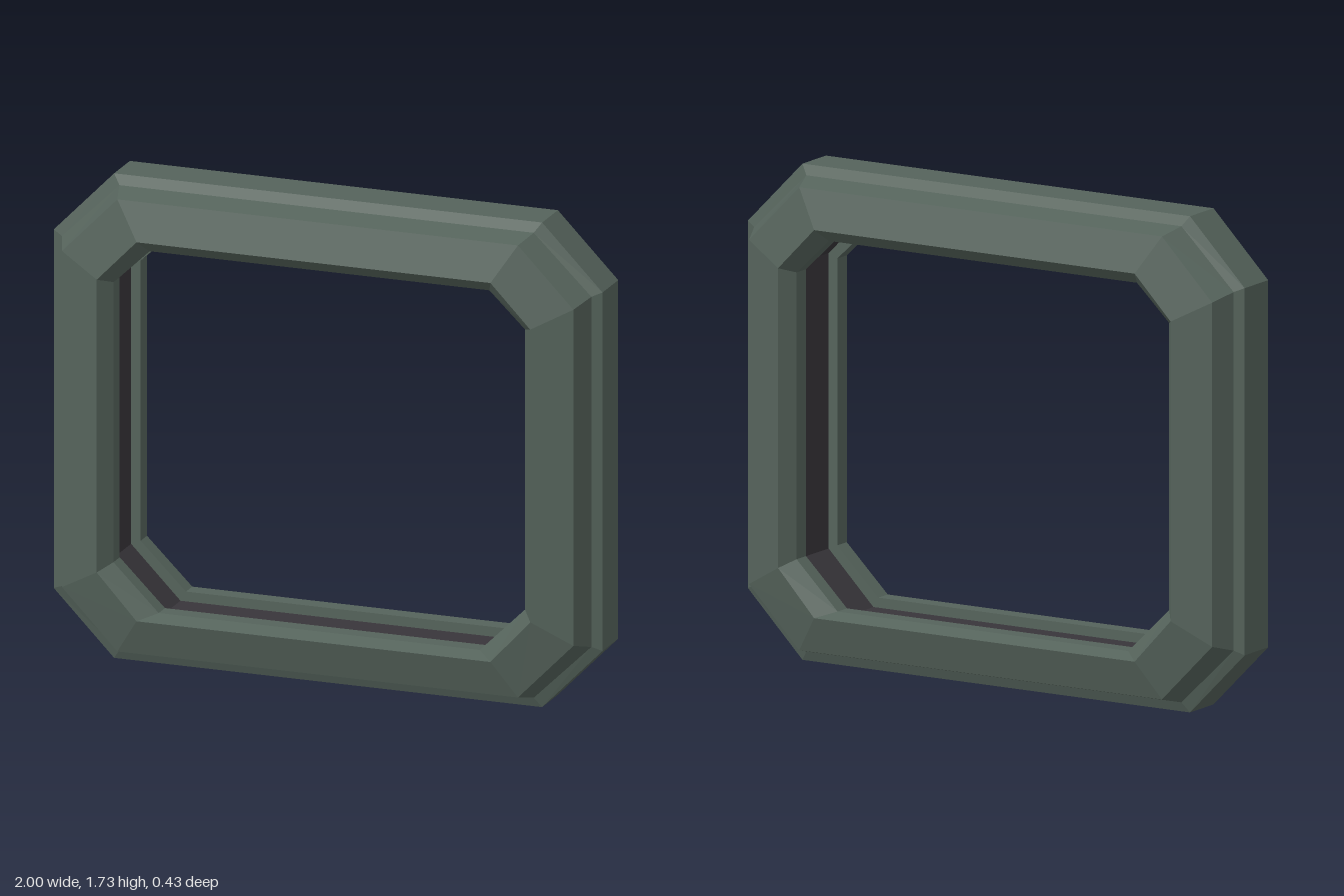
import * as THREE from 'three';

const green = new THREE.MeshStandardMaterial({ color: 0x55635b });
green.name = 'grey green metal';
const dark = new THREE.MeshStandardMaterial({ color: 0x38353a });
dark.name = 'dark groove';

// Octagonal ring, anticlockwise from the front: half width, top and bottom,
// then the corner cuts (x on the top edge, y on the side) above and below.
function ring(hx, top, bottom, cutTopX, cutTopY, cutBotX, cutBotY) {
  return [
    [hx, cutBotY], [hx, cutTopY], [cutTopX, top], [-cutTopX, top],
    [-hx, cutTopY], [-hx, cutBotY], [-cutBotX, bottom], [cutBotX, bottom],
  ];
}

// Flat-faced strips joining each loop to the next
function loft(loops, name, material) {
  const pos = [];
  for (let i = 0; i < loops.length - 1; i++) {
    const p = loops[i], q = loops[i + 1];
    for (let k = 0; k < 8; k++) {
      const n = (k + 1) % 8;
      const a = [...p.ring[k], p.z], b = [...p.ring[n], p.z];
      const c = [...q.ring[n], q.z], d = [...q.ring[k], q.z];
      pos.push(...a, ...b, ...c, ...a, ...c, ...d);
    }
  }
  const geo = new THREE.BufferGeometry();
  geo.setAttribute('position', new THREE.Float32BufferAttribute(pos, 3));
  geo.computeVertexNormals();
  const mesh = new THREE.Mesh(geo, material);
  mesh.name = name;
  return mesh;
}

export function createModel() {
  const group = new THREE.Group();
  group.name = 'octagonalFrame';

  const band = ring(1, 1.73, 0, 0.78, 1.505, 0.78, 0.225);
  const step = ring(0.965, 1.695, 0.035, 0.755, 1.49, 0.755, 0.24);
  const shoulder = ring(0.932, 1.672, 0.058, 0.73, 1.465, 0.73, 0.265);
  const ridge = ring(0.79, 1.54, 0.187, 0.645, 1.39, 0.645, 0.345);
  const lip = ring(0.75, 1.495, 0.207, 0.62, 1.37, 0.585, 0.37);
  const groove = ring(0.785, 1.53, 0.172, 0.64, 1.385, 0.605, 0.355);

  // Front half of the cross-section, from the outer band in to the groove
  const front = [
    { ring: band, z: 0.075 },
    { ring: step, z: 0.09 },
    { ring: shoulder, z: 0.175 },
    { ring: ridge, z: 0.215 },
    { ring: lip, z: 0.16 },
    { ring: lip, z: 0.1 },
    { ring: groove, z: 0.1 },
  ];
  const back = front.map((l) => ({ ring: l.ring, z: -l.z })).reverse();

  group.add(
    loft(front, 'frontMoulding', green),
    loft(back, 'backMoulding', green),
    loft([back[6], front[0]], 'outerBand', green),
    loft([front[6], back[0]], 'innerGroove', dark),
  );
  return group;
}
